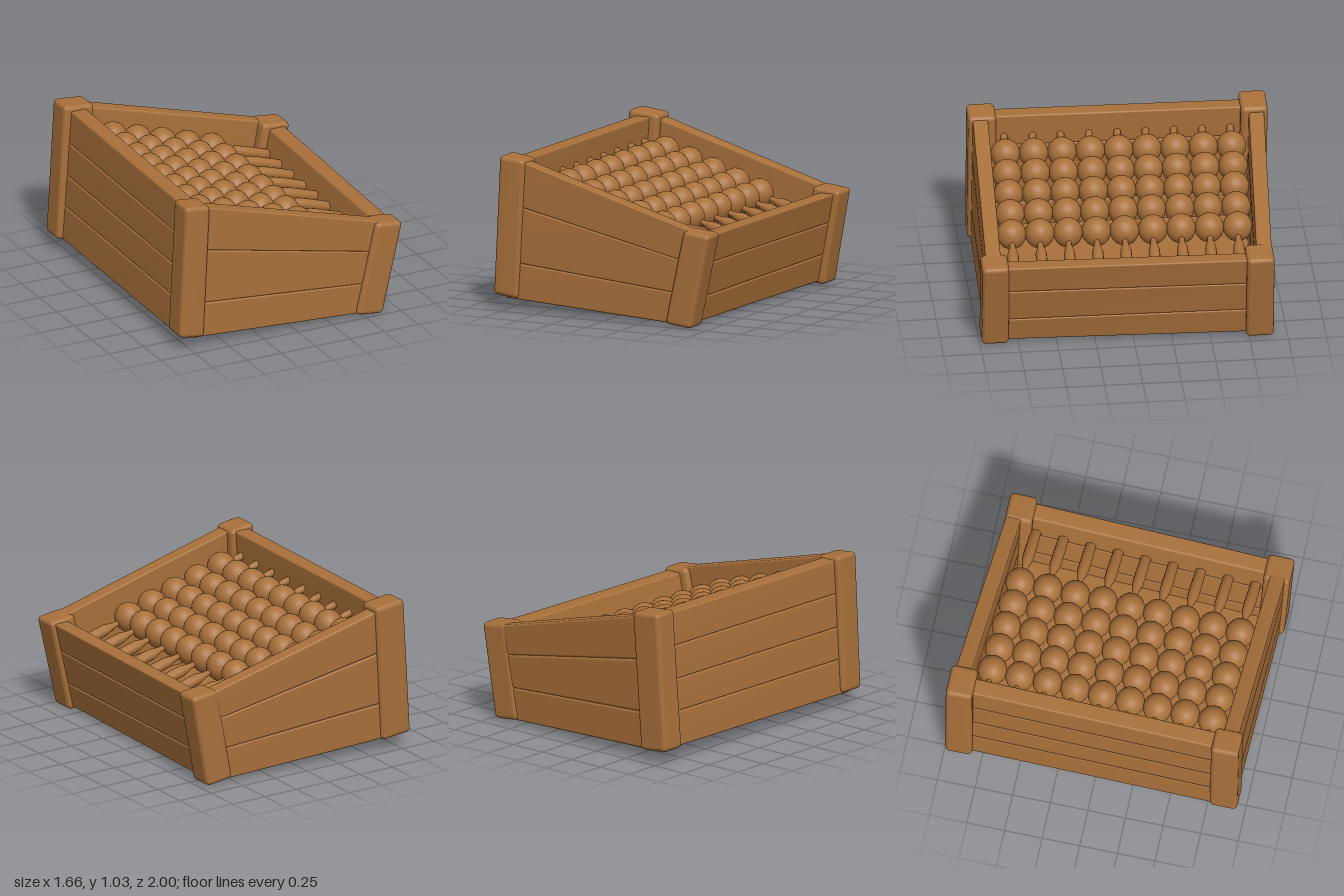
import * as THREE from 'three';
import { mergeVertices } from 'three/addons/utils/BufferGeometryUtils.js';
import { RoundedBoxGeometry } from 'three/addons/geometries/RoundedBoxGeometry.js';

const V = (p) => new THREE.Vector3(...p);
const mix = (a, b, t) => a.clone().lerp(b, t);

// Rounded block bent to eight corners: c[0..3] = bottom, c[4..7] = top,
// each in the order inner start, inner end, outer start, outer end.
function warpedBlock(c, radius) {
  const w = c[0].distanceTo(c[1]), h = c[0].distanceTo(c[4]), d = c[0].distanceTo(c[2]);
  let geo = new RoundedBoxGeometry(w, h, d, 3, radius);
  geo.deleteAttribute('normal');
  geo.deleteAttribute('uv');
  geo = mergeVertices(geo, 1e-5);
  const pos = geo.attributes.position;
  for (let i = 0; i < pos.count; i++) {
    const u = pos.getX(i) / w + 0.5, v = pos.getY(i) / h + 0.5, t = pos.getZ(i) / d + 0.5;
    const low = mix(mix(c[0], c[1], u), mix(c[2], c[3], u), t);
    const high = mix(mix(c[4], c[5], u), mix(c[6], c[7], u), t);
    const p = mix(low, high, v);
    pos.setXYZ(i, p.x, p.y, p.z);
  }
  geo.computeVertexNormals();
  return geo;
}

export function createModel() {
  const model = new THREE.Group();
  model.name = 'slantedBeadCrate';
  const wood = new THREE.MeshStandardMaterial({ color: 0xa8703a });
  wood.name = 'warmWood';

  const add = (parent, name, geo) => {
    const mesh = new THREE.Mesh(geo, wood);
    mesh.name = name;
    parent.add(mesh);
    return mesh;
  };

  // Leaning corner posts, given by the centres of their two ends
  const post = (name, bottom, top, hx, hz) => {
    const ring = (p) => [[-1, -1], [1, -1], [-1, 1], [1, 1]].map(
      ([sx, sz]) => V([p[0] + sx * hx, p[1] - sx * 0.011, p[2] + sz * hz]));
    add(model, name, warpedBlock([...ring(bottom), ...ring(top)], 0.03));
  };
  post('frontTallPost', [-0.745, 0.1, 0.86], [-0.7, 1.02, 0.86], 0.09, 0.092);
  post('backTallPost', [-0.72, 0.1, -0.9], [-0.66, 1.03, -0.912], 0.11, 0.088);
  post('frontShortPost', [0.535, 0.02, 0.9], [0.675, 0.65, 0.91], 0.095, 0.088);
  post('backShortPost', [0.615, 0.03, -0.82], [0.73, 0.66, -0.815], 0.098, 0.09);

  // Plank walls: outer edge at each end, inward thickness, and the seam heights at both ends
  const wall = (name, a, b, inward, seams) => {
    const group = new THREE.Group();
    group.name = name;
    model.add(group);
    const inn = V(inward);
    const [a0, a1, b0, b1] = [...a, ...b].map(V);
    const rows = [[0, 0], ...seams, [1, 1]];
    for (let i = 0; i + 1 < rows.length; i++) {
      const edge = ([ta, tb]) => {
        const s = mix(a0, a1, ta), e = mix(b0, b1, tb);
        return [s.clone().add(inn), e.clone().add(inn), s, e];
      };
      add(group, 'plank', warpedBlock([...edge(rows[i]), ...edge(rows[i + 1])], 0.013));
    }
  };
  wall('frontWall', [[-0.75, 0.09, 0.93], [-0.7, 1.015, 0.92]], [[0.53, 0.03, 0.96], [0.68, 0.64, 0.967]],
    [0, 0, -0.1], [[0.26, 0.33], [0.67, 0.67]]);
  wall('shortEndWall', [[0.6, 0.03, 0.9], [0.735, 0.625, 0.9]], [[0.675, 0.04, -0.82], [0.79, 0.63, -0.82]],
    [-0.11, 0, 0], [[0.28, 0.31], [0.67, 0.67]]);
  wall('backWall', [[0.61, 0.035, -0.89], [0.73, 0.64, -0.895]], [[-0.72, 0.1, -0.965], [-0.66, 1.015, -0.98]],
    [0, 0, 0.1], [[0.35, 0.27], [0.69, 0.67]]);
  wall('tallEndWall', [[-0.79, 0.11, -0.9], [-0.72, 1.0, -0.9]], [[-0.81, 0.1, 0.86], [-0.755, 1.0, 0.86]],
    [0.11, 0, 0], [[0.26, 0.26], [0.5, 0.5], [0.75, 0.75]]);

  // Sloping floor
  add(model, 'floor', warpedBlock([
    [-0.74, 0.11, -0.92], [0.6, 0.05, -0.85], [-0.76, 0.11, 0.88], [0.53, 0.045, 0.91],
    [-0.74, 0.17, -0.92], [0.6, 0.11, -0.85], [-0.76, 0.17, 0.88], [0.53, 0.105, 0.91]].map(V), 0.01));

  // Nine tilted rods with a thick handle end, each carrying five beads
  const rodGeo = new THREE.LatheGeometry([
    [0, -0.19], [0.024, -0.19], [0.024, -0.13], [0.017, -0.09], [0.017, 0.82], [0.02, 0.86],
    [0.036, 0.92], [0.038, 1.0], [0.034, 1.2], [0, 1.2]].map((p) => new THREE.Vector2(...p)), 12);
  rodGeo.rotateZ(-Math.PI / 2);
  const beadGeo = new THREE.SphereGeometry(1, 24, 16);
  beadGeo.rotateZ(-Math.PI / 2);
  beadGeo.scale(0.095, 0.1, 0.096);
  const slope = V([1, -0.3, 0.045]).normalize();
  for (let r = 0; r < 9; r++) {
    const row = new THREE.Group();
    row.name = 'beadRow';
    row.position.set(-0.46 - r * 0.005, 0.8, -0.75 + r * 0.184);
    row.quaternion.setFromUnitVectors(V([1, 0, 0]), slope);
    add(row, 'rod', rodGeo);
    for (let b = 0; b < 5; b++) add(row, 'bead', beadGeo).position.x = b * 0.184;
    model.add(row);
  }
  return model;
}
